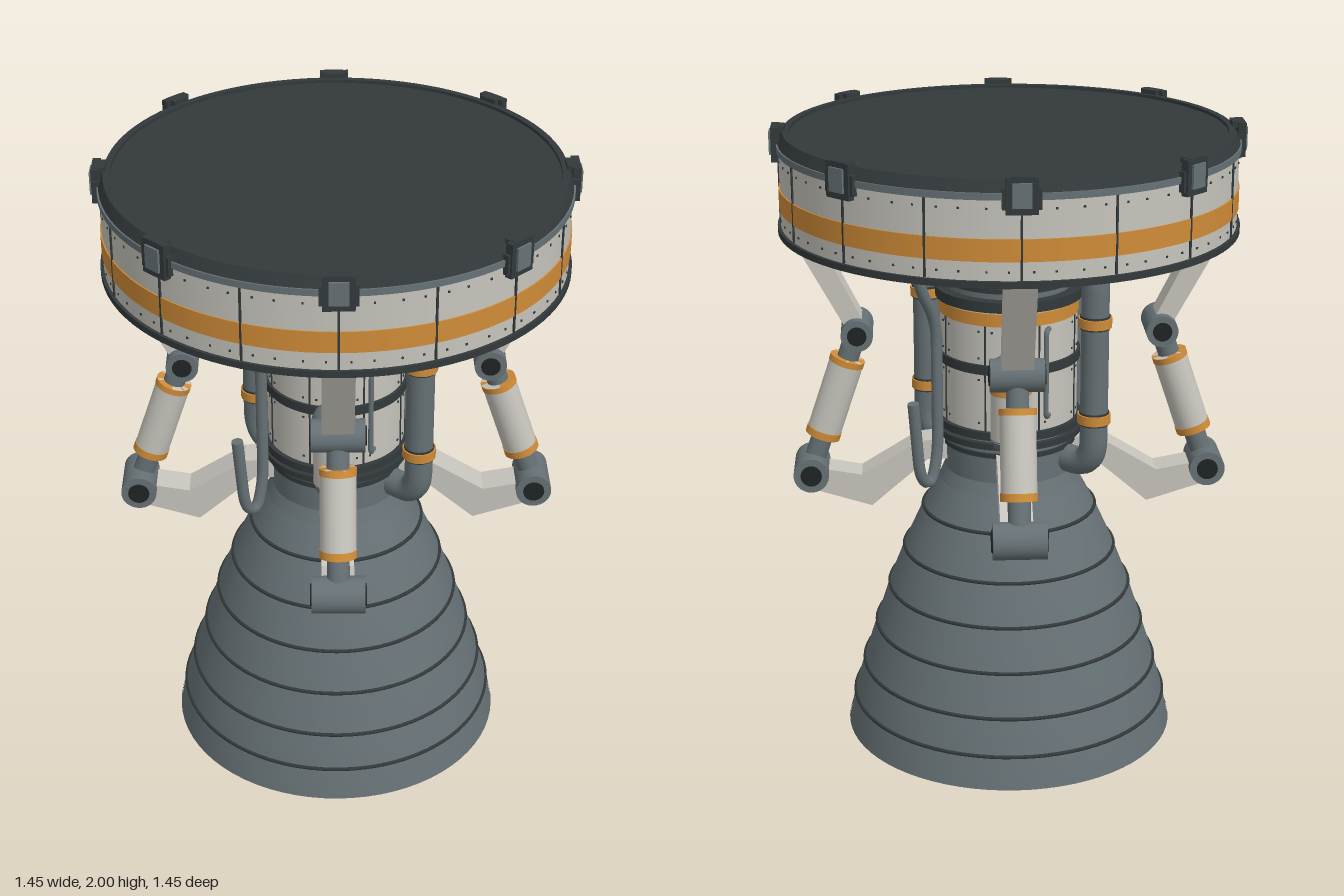
import * as THREE from 'three';

const mat = (color) => new THREE.MeshStandardMaterial({ color, side: THREE.DoubleSide });
const light = mat(0xc6c4bc), grey = mat(0x667175), dark = mat(0x33393b), orange = mat(0xd08c38), black = mat(0x202425);
const V = (x, y, z) => new THREE.Vector3(x, y, z);

function add(parent, name, geometry, material, x = 0, y = 0, z = 0) {
  const m = new THREE.Mesh(geometry, material);
  m.name = name;
  m.position.set(x, y, z);
  parent.add(m);
  return m;
}

// Upright drum between two heights
function drum(parent, name, r, y0, y1, material, rTop = r, seg = 64) {
  return add(parent, name, new THREE.CylinderGeometry(rTop, r, y1 - y0, seg), material, 0, (y0 + y1) / 2, 0);
}

// Cylinder from point a to point b
function rod(parent, name, a, b, r, material, seg = 24) {
  const d = b.clone().sub(a);
  const m = add(parent, name, new THREE.CylinderGeometry(r, r, d.length(), seg), material);
  m.position.copy(a).add(b).multiplyScalar(0.5);
  m.quaternion.setFromUnitVectors(V(0, 1, 0), d.normalize());
  return m;
}

// Tube through points with rounded corners
function pipe(parent, name, pts, r, bend, material) {
  const path = new THREE.CurvePath();
  let from = pts[0];
  for (let i = 1; i < pts.length - 1; i++) {
    const p = pts[i];
    const toward = (q) => p.clone().add(q.clone().sub(p).setLength(Math.min(bend, q.distanceTo(p) * 0.48)));
    const a = toward(pts[i - 1]), b = toward(pts[i + 1]);
    path.add(new THREE.LineCurve3(from, a));
    path.add(new THREE.QuadraticBezierCurve3(a, p, b));
    from = b;
  }
  path.add(new THREE.LineCurve3(from, pts[pts.length - 1]));
  const g = new THREE.TubeGeometry(path, 70, r, 14, false);
  add(parent, name, g, material);
  const end = pts[pts.length - 1], dir = end.clone().sub(pts[pts.length - 2]).setLength(0.004);
  rod(parent, name + 'Cap', end, end.clone().add(dir), r, material, 14);
}

// Flat plate with a (radius, height) outline, thick along the tangent
function plate(parent, name, outline, t, material) {
  const g = new THREE.ExtrudeGeometry(new THREE.Shape(outline.map(([r, y]) => new THREE.Vector2(r, y))), { depth: t, bevelEnabled: false });
  g.translate(0, 0, -t / 2).rotateY(-Math.PI / 2);
  add(parent, name, g, material);
}

// Calls build(group) in n groups turned evenly about the y axis
function around(parent, name, n, offset, build) {
  for (let i = 0; i < n; i++) {
    const g = new THREE.Group();
    g.name = name;
    g.rotation.y = offset + (i * 2 * Math.PI) / n;
    parent.add(g);
    build(g, i);
  }
}

function buildMount(root) {
  const g = new THREE.Group();
  g.name = 'mountRing';
  root.add(g);
  drum(g, 'lowerLip', 0.708, 1.68, 1.7, dark, 0.708, 96);
  drum(g, 'underside', 0.66, 1.672, 1.69, black, 0.66, 96);
  drum(g, 'panelBand', 0.698, 1.7, 1.935, light, 0.698, 96);
  drum(g, 'stripe', 0.702, 1.755, 1.82, orange, 0.702, 96);
  drum(g, 'upperLip', 0.705, 1.93, 1.95, grey, 0.705, 96);
  // Raised rim around the sunken top plate
  const rim = [[0.665, 1.95], [0.665, 1.985], [0.685, 1.985], [0.7, 1.95]].map(([x, y]) => new THREE.Vector2(x, y));
  for (let i = 0; i < 3; i++) add(g, 'topRim', new THREE.LatheGeometry([rim[i + 1], rim[i]], 96), dark);
  drum(g, 'topPlate', 0.667, 1.94, 1.975, dark, 0.667, 96);

  // Panel seams and rivets
  around(g, 'panelSeam', 16, 0, (s) => {
    add(s, 'seam', new THREE.BoxGeometry(0.006, 0.23, 0.008), dark, 0, 1.817, 0.699);
    for (const a of [-0.14, -0.05, 0.05, 0.14]) for (const y of [1.725, 1.905])
      add(s, 'rivet', new THREE.BoxGeometry(0.006, 0.006, 0.006), dark, 0.698 * Math.sin(a), y, 0.698 * Math.cos(a));
  });
  // Edge clamps
  around(g, 'edgeClamp', 8, 0, (c) => {
    add(c, 'clampPlate', new THREE.BoxGeometry(0.09, 0.105, 0.024), dark, 0, 1.945, 0.707);
    add(c, 'clampFoot', new THREE.BoxGeometry(0.11, 0.06, 0.02), dark, 0, 1.935, 0.703);
    add(c, 'clampFace', new THREE.BoxGeometry(0.055, 0.07, 0.012), grey, 0, 1.947, 0.72);
    add(c, 'clampHook', new THREE.BoxGeometry(0.06, 0.018, 0.04), dark, 0, 1.99, 0.698);
  });
}

function buildNozzle(root) {
  const g = new THREE.Group();
  g.name = 'nozzle';
  root.add(g);
  const bell = [[0.53, 0], [0.508, 0.105], [0.475, 0.22], [0.432, 0.355], [0.388, 0.49], [0.338, 0.62], [0.275, 0.76], [0.222, 0.86]];
  const points = (d) => bell.map(([r, y]) => new THREE.Vector2(r - d, y));
  add(g, 'bell', new THREE.LatheGeometry(points(0), 72), grey);
  add(g, 'bellLining', new THREE.LatheGeometry(points(0.014).reverse(), 72), dark);
  add(g, 'exitLip', new THREE.RingGeometry(0.514, 0.53, 72), grey).rotation.x = Math.PI / 2;
  drum(g, 'exitBand', 0.532, 0.001, 0.02, grey, 0.528, 72).geometry =
    new THREE.CylinderGeometry(0.528, 0.532, 0.019, 72, 1, true);
  for (const [r, y] of bell.slice(1, -1))
    add(g, 'stiffener', new THREE.TorusGeometry(r + 0.001, 0.006, 8, 72), dark, 0, y, 0).rotation.x = Math.PI / 2;
  drum(g, 'throat', 0.222, 0.86, 0.9, grey, 0.205);
  drum(g, 'throatNeck', 0.205, 0.9, 1.02, grey);
  drum(g, 'throatBand', 0.212, 0.985, 1.0, dark);
}

function buildChamber(root) {
  const g = new THREE.Group();
  g.name = 'chamber';
  root.add(g);
  drum(g, 'lowerFlange', 0.232, 1.02, 1.04, dark);
  drum(g, 'lowerCollar', 0.215, 1.04, 1.055, grey);
  drum(g, 'bodyFlange', 0.23, 1.05, 1.075, dark);
  drum(g, 'body', 0.215, 1.07, 1.46, light);
  drum(g, 'bodyStripe', 0.219, 1.415, 1.455, orange);
  drum(g, 'bodyBelt', 0.224, 1.26, 1.29, dark);
  drum(g, 'upperFlange', 0.23, 1.462, 1.495, dark);
  drum(g, 'neck', 0.195, 1.49, 1.66, grey);
  drum(g, 'neckBand', 0.205, 1.515, 1.53, dark);
  drum(g, 'neckCone', 0.195, 1.61, 1.645, grey, 0.22);
  drum(g, 'topFlange', 0.238, 1.645, 1.68, dark);
  around(g, 'bodySeam', 8, Math.PI / 8, (s) => {
    add(s, 'seam', new THREE.BoxGeometry(0.005, 0.345, 0.006), dark, 0, 1.245, 0.215);
    for (const a of [-0.1, 0.1]) for (const y of [1.1, 1.24, 1.31, 1.395])
      add(s, 'rivet', new THREE.BoxGeometry(0.006, 0.006, 0.006), dark, 0.215 * Math.sin(a), y, 0.215 * Math.cos(a));
  });
}

// Gimbal leg, built with z pointing outward
function buildLeg(g) {
  const top = V(0, 1.35, 0.475), low = V(0, 0.89, 0.63);
  const at = (t) => top.clone().lerp(low, t);
  plate(g, 'upperStrut', [[0.435, 1.35], [0.505, 1.36], [0.685, 1.69], [0.605, 1.69]], 0.095, light);
  plate(g, 'lowerBracket', [[0.19, 0.93], [0.26, 0.93], [0.44, 0.775], [0.63, 0.835], [0.63, 0.91], [0.47, 0.88], [0.29, 0.99], [0.19, 1.0]], 0.1, light);
  for (const [p, r] of [[top, 0.05], [low, 0.056]]) {
    rod(g, 'pivot', V(-0.08, p.y, p.z), V(0.08, p.y, p.z), r, grey, 28);
    rod(g, 'pivotPin', V(-0.084, p.y, p.z), V(0.084, p.y, p.z), r * 0.6, black);
  }
  rod(g, 'pistonRod', top, low, 0.034, grey);
  rod(g, 'actuator', at(0.2), at(0.76), 0.054, light, 28);
  rod(g, 'actuatorBand', at(0.2), at(0.24), 0.056, orange, 28);
  rod(g, 'actuatorBand', at(0.71), at(0.76), 0.056, orange, 28);
}

// Pipes and tank of one half; the other half is the same turned by 180 degrees
function buildPlumbing(g) {
  pipe(g, 'feedPipe', [V(0.05, 1.61, 0.14), V(0.05, 1.61, 0.31), V(0.05, 0.95, 0.31), V(0.05, 0.95, 0.15)], 0.044, 0.09, grey);
  for (const y of [1.42, 1.11]) {
    rod(g, 'feedPipeClamp', V(0.05, y - 0.015, 0.31), V(0.05, y + 0.015, 0.31), 0.052, orange);
    rod(g, 'feedPipeClampEdge', V(0.05, y - 0.021, 0.31), V(0.05, y + 0.021, 0.31), 0.047, dark);
  }
  // Looped line at the side
  pipe(g, 'loopLine', [V(0.36, 1.675, 0.045), V(0.36, 1.56, 0.045), V(0.28, 1.42, 0.045), V(0.28, 1.0, 0.045),
    V(0.31, 0.895, 0.045), V(0.36, 0.93, 0.045), V(0.385, 1.18, 0.045)], 0.018, 0.06, grey);
  // Slim conduit on the body
  pipe(g, 'conduit', [V(-0.05, 1.4, 0.21), V(-0.075, 1.4, 0.222), V(-0.075, 1.12, 0.222), V(-0.05, 1.12, 0.21)], 0.008, 0.02, grey);

  const tank = new THREE.Group();
  tank.name = 'tank';
  tank.position.set(-0.245, 0, 0.23);
  g.add(tank);
  drum(tank, 'tankBody', 0.062, 1.1, 1.29, light, 0.062, 32);
  drum(tank, 'tankStripe', 0.064, 1.25, 1.285, orange, 0.064, 32);
  const shell = (name, pts) => add(tank, name, new THREE.LatheGeometry(pts.map(([r, y]) => new THREE.Vector2(r, y)), 32), grey);
  shell('tankCap', [[0.065, 1.285], [0.065, 1.325], [0.055, 1.347], [0.035, 1.36], [0, 1.363]]);
  shell('tankBase', [[0, 1.06], [0.035, 1.063], [0.053, 1.075], [0.063, 1.105]]);
  pipe(g, 'tankTopLine', [V(-0.245, 1.35, 0.23), V(-0.245, 1.46, 0.23), V(-0.17, 1.58, 0.15), V(-0.1, 1.6, 0.09)], 0.016, 0.07, grey);
  pipe(g, 'tankBottomLine', [V(-0.245, 1.07, 0.23), V(-0.245, 0.99, 0.23), V(-0.1, 0.99, 0.1)], 0.016, 0.06, grey);
}

export function createModel() {
  const root = new THREE.Group();
  root.name = 'rocketEngine';
  buildMount(root);
  buildNozzle(root);
  buildChamber(root);
  around(root, 'gimbalLeg', 4, Math.PI / 4, buildLeg);
  around(root, 'plumbing', 2, 0, buildPlumbing);
  return root;
}
